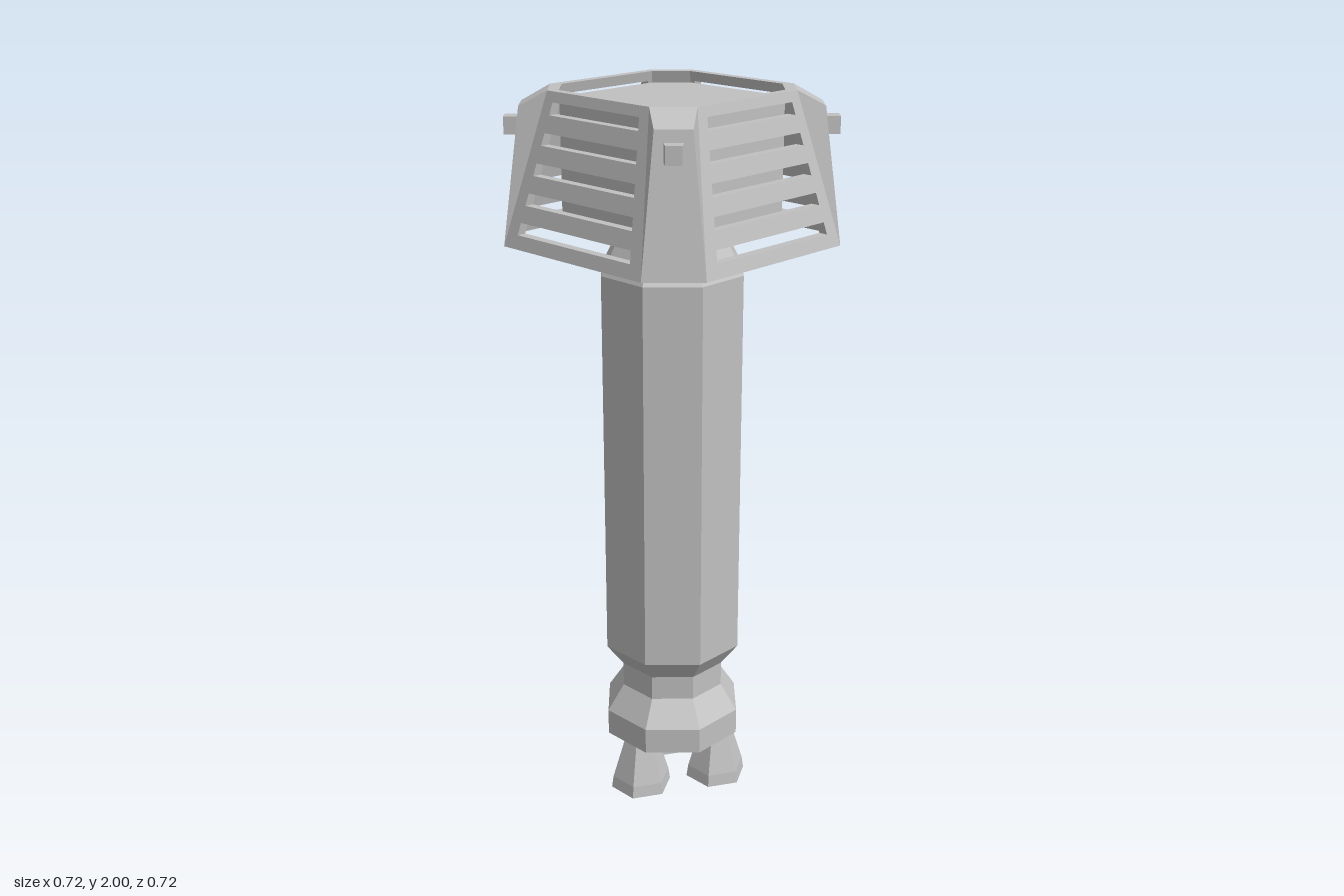
import * as THREE from 'three';
import { ConvexGeometry } from 'three/addons/geometries/ConvexGeometry.js';

const grey = new THREE.MeshStandardMaterial({ color: 0xc0c0c0 });
grey.name = 'plain grey';

const HOOD_Y = 1.61, HOOD_H = 0.39, WALL = 0.025;
const V = (x, y, z) => new THREE.Vector3(x, y, z);

function part(name, geometry) {
  const mesh = new THREE.Mesh(geometry, grey);
  mesh.name = name;
  return mesh;
}

// Faceted solid of revolution
function facetedLathe(profile, sides, phi = 0) {
  const points = profile.map(([r, y]) => new THREE.Vector2(r, y));
  const g = new THREE.LatheGeometry(points, sides, phi).toNonIndexed();
  g.computeVertexNormals();
  return g;
}

function polygon(points, Type = THREE.Shape) {
  return new Type(points.map(([x, y]) => new THREE.Vector2(x, y)));
}

// Sloping louvre panel with five tapered slots
function louvreGeometry() {
  const shape = polygon([[-0.25, 0], [0.25, 0], [0.18, HOOD_H], [-0.18, HOOD_H]]);
  const half = y => 0.153 + 0.052 * (0.365 - y) / 0.33;
  for (let i = 0; i < 5; i++) {
    const a = 0.035 + i * 0.0745, b = a + 0.031;
    shape.holes.push(polygon(
      [[-half(a), a], [-half(b), b], [half(b), b], [half(a), a]], THREE.Path));
  }
  const g = new THREE.ExtrudeGeometry(shape, { depth: WALL, bevelEnabled: false });
  // Lean the panel back while keeping its edges level
  const p = g.attributes.position;
  for (let i = 0; i < p.count; i++) {
    const y = p.getY(i);
    p.setXYZ(i, p.getX(i), y + HOOD_Y, p.getZ(i) + 0.36 - WALL - 0.1 * y / HOOD_H);
  }
  g.computeVertexNormals();
  return g;
}

// Raised corner post with a bevelled top, symmetric about the diagonal
function postGeometry() {
  const half = [[0.25, 1.61, 0.36], [0.24, 1.96, 0.305], [0.18, 2, 0.26],
    [0.238, 1.61, 0.335], [0.163, 2, 0.235]];
  return new ConvexGeometry(half.flatMap(([x, y, z]) => [V(x, y, z), V(z, y, x)]));
}

// Small tapered lug, pointing along +z before it is turned to the corner
function lugGeometry() {
  const points = [];
  for (const [w, z] of [[0.026, 0.37], [0.02, 0.427]])
    for (const sx of [-1, 1]) for (const y of [1.885, 1.93]) points.push(V(sx * w, y, z));
  return new ConvexGeometry(points);
}

export function createModel() {
  const model = new THREE.Group();
  model.name = 'hoodedColumn';

  // Octagonal column with a waist and a foot
  const c = Math.cos(Math.PI / 8);
  const columnProfile = [[0, 0.16], [0.185, 0.16], [0.185, 0.235], [0.14, 0.31], [0.14, 0.38],
    [0.185, 0.445], [0.185, 1.53], [0.146, 1.61], [0.146, 1.67]];
  model.add(part('column',
    facetedLathe(columnProfile.map(([r, y]) => [r / c, y]), 8, Math.PI / 8)));

  // Three hollow six-sided nozzles
  const nozzle = facetedLathe(
    [[0, 0.13], [0.035, 0.13], [0.08, 0], [0.088, 0], [0.083, 0.035], [0.045, 0.162]], 6);
  for (const [x, z] of [[-0.13, 0], [0.065, 0.115], [0.065, -0.115]]) {
    const mesh = part('nozzle', nozzle);
    mesh.position.set(x, 0, z);
    model.add(mesh);
  }

  // Core inside the hood, its top forming the sunken roof
  const a = 0.235, b = 0.163;
  const core = new THREE.ExtrudeGeometry(
    polygon([[a, -b], [a, b], [b, a], [-b, a], [-a, b], [-a, -b], [-b, -a], [b, -a]]),
    { depth: 0.31, bevelEnabled: false });
  core.rotateX(-Math.PI / 2).translate(0, 1.66, 0);
  model.add(part('hoodCore', core));

  // Four hood sides, each with a corner post and lug
  const louvre = louvreGeometry(), post = postGeometry(), lug = lugGeometry();
  lug.rotateY(Math.PI / 4);
  for (let i = 0; i < 4; i++) {
    const side = new THREE.Group();
    side.name = 'hoodSide';
    side.add(part('louvrePanel', louvre), part('cornerPost', post), part('cornerLug', lug));
    side.rotation.y = i * Math.PI / 2;
    model.add(side);
  }
  return model;
}
